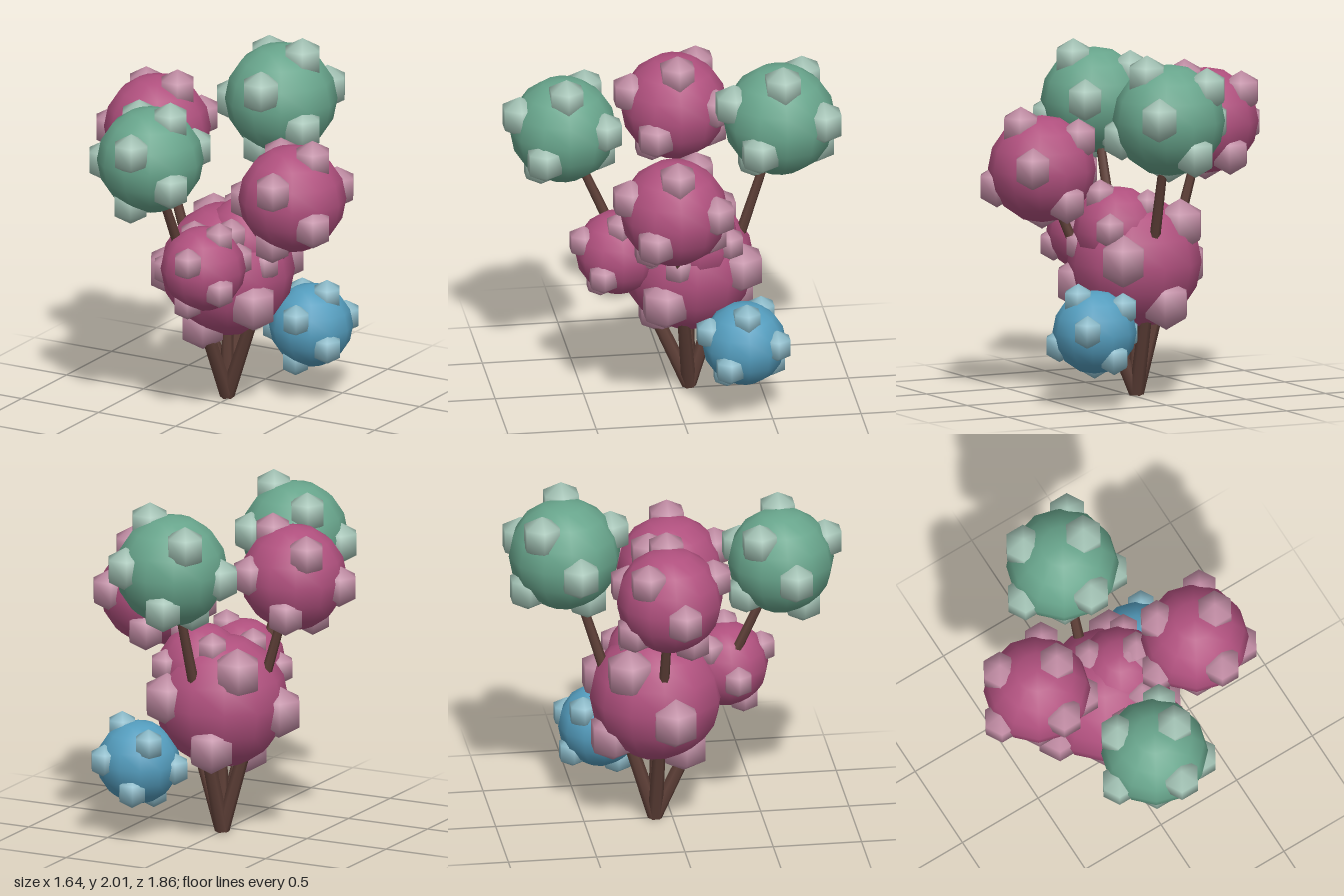
import * as THREE from 'three';

const material = (color) => new THREE.MeshStandardMaterial({ color });

export function createModel() {
  const model = new THREE.Group();
  model.name = 'pompomBush';

  const palette = {
    pink: { ball: material(0xb0507e), bump: material(0xc08ba3) },
    green: { ball: material(0x68a58c), bump: material(0xa2c2b4) },
    blue: { ball: material(0x549dbe), bump: material(0x8bbbca) },
  };
  const bark = material(0x5f4038);
  const ballShape = new THREE.SphereGeometry(1, 12, 8);
  const bumpShape = new THREE.SphereGeometry(0.4, 6, 3);
  const base = new THREE.Vector3(-0.015, 0.01, -0.1);

  // Eight bump directions spread evenly along a golden-angle spiral
  const goldenAngle = Math.PI * (3 - Math.sqrt(5));
  const directions = Array.from({ length: 8 }, (_, i) => {
    const y = 1 - (2 * i + 1) / 8;
    const r = Math.sqrt(1 - y * y);
    return new THREE.Vector3(r * Math.cos(i * goldenAngle), y, -r * Math.sin(i * goldenAngle));
  });

  // Round foliage ball studded with low-poly bumps
  function addFoliage(name, color, center, radius) {
    const group = new THREE.Group();
    group.name = name;
    const ball = new THREE.Mesh(ballShape, palette[color].ball);
    ball.name = 'foliageBall';
    group.add(ball);
    for (const direction of directions) {
      const bump = new THREE.Mesh(bumpShape, palette[color].bump);
      bump.name = 'foliageBump';
      bump.position.copy(direction).multiplyScalar(0.9);
      group.add(bump);
    }
    group.position.copy(center);
    group.scale.setScalar(radius);
    model.add(group);
  }

  // Tapered branch from the shared base to a foliage ball
  function addBranch(center) {
    const axis = center.clone().sub(base);
    const length = axis.length();
    const branch = new THREE.Mesh(new THREE.CylinderGeometry(0.022, 0.042, length, 6), bark);
    branch.name = 'branch';
    branch.position.copy(base).addScaledVector(axis, 0.5);
    branch.quaternion.setFromUnitVectors(new THREE.Vector3(0, 1, 0), axis.normalize());
    model.add(branch);
  }

  // name, colour, centre, radius, has its own branch
  const foliage = [
    ['backFoliage', 'green', [0.04, 1.625, -0.605], 0.316, true],
    ['frontFoliage', 'green', [-0.105, 1.575, 0.6], 0.3, true],
    ['rightFoliage', 'pink', [-0.457, 1.524, -0.08], 0.3, true],
    ['leftFoliage', 'pink', [0.5, 1.294, 0.058], 0.303, true],
    ['centreFoliage', 'pink', [-0.007, 0.758, -0.092], 0.377, true],
    ['lowerFrontFoliage', 'pink', [0.072, 0.883, 0.315], 0.239, false],
    ['innerFoliage', 'pink', [0.11, 0.94, -0.11], 0.25, false],
    ['lowFoliage', 'blue', [0.38, 0.415, -0.356], 0.236, false],
  ];
  for (const [name, color, position, radius, hasBranch] of foliage) {
    const center = new THREE.Vector3(...position);
    addFoliage(name, color, center, radius);
    if (hasBranch) addBranch(center);
  }

  return model;
}
